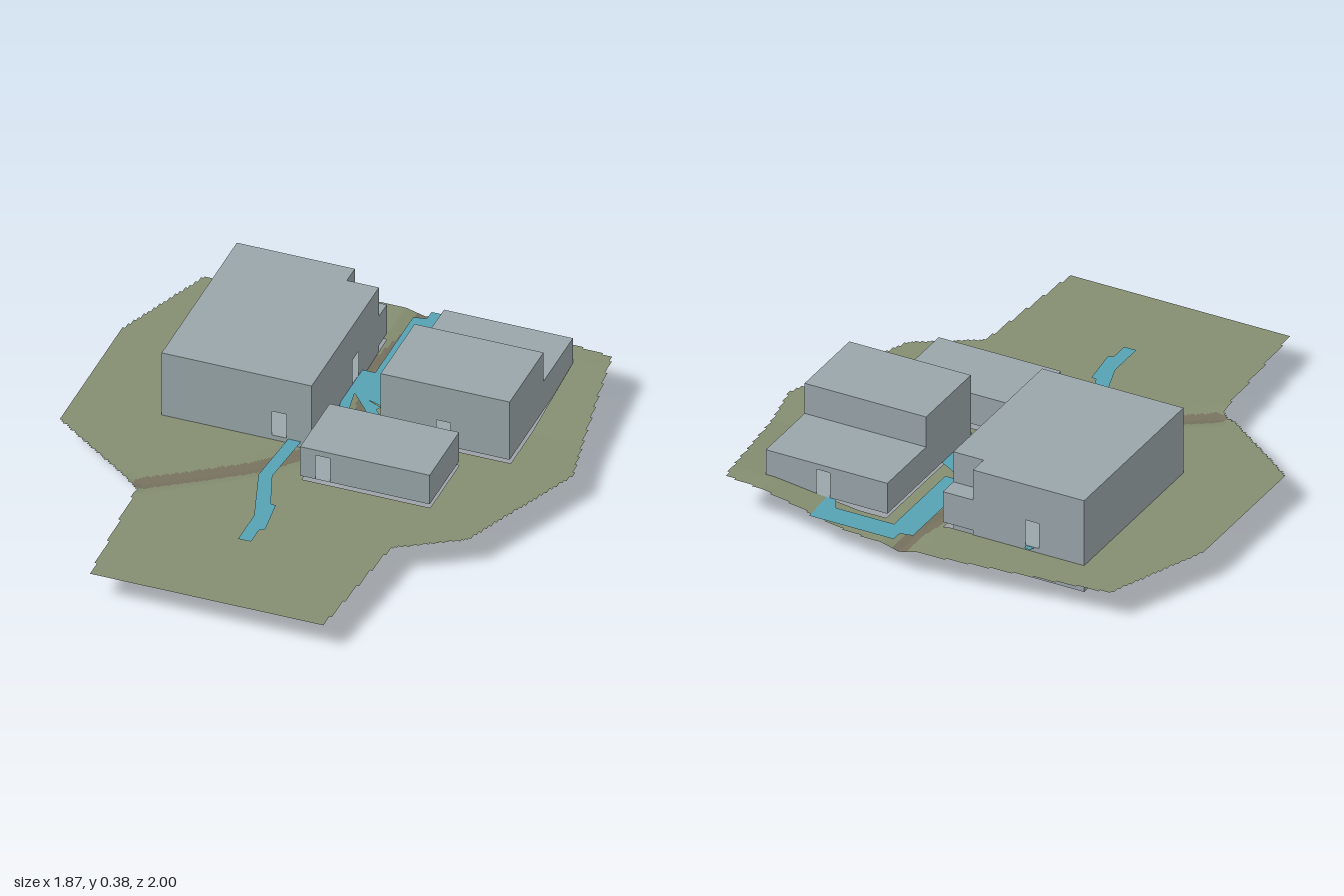
import * as THREE from 'three';

const mat = (name, color) => Object.assign(new THREE.MeshStandardMaterial({ color, side: THREE.DoubleSide }), { name });
const concrete = mat('concrete', 0x98a5a9);
const grass = mat('grass', 0x848d70);
const gullyEarth = mat('gully earth', 0x77725f);
const paving = mat('blue paving', 0x56a2b3);

const FLOOR = 0.13, ROOF = 0.258, TOP = 0.385, DOOR = 0.235;

// Building footprints: x0, x1, z0, z1
const HALL = [-0.605, -0.02, -0.795, -0.04];
const LODGE = [0.185, 0.688, -0.84, -0.205];
const PAVILION = [0.015, 0.52, -0.13, 0.165];

const add = (group, name, geometry, material) => {
  const m = new THREE.Mesh(geometry, material);
  m.name = name;
  group.add(m);
  return m;
};

// Flat outline in plan, points given as [x, z]
const planShape = pts => new THREE.Shape(pts.map(([x, z]) => new THREE.Vector2(x, -z)));
const flat = (pts, y) => new THREE.ShapeGeometry(planShape(pts)).rotateX(-Math.PI / 2).translate(0, y, 0);
const prism = (pts, y0, y1) =>
  new THREE.ExtrudeGeometry(planShape(pts), { depth: y1 - y0, bevelEnabled: false }).rotateX(-Math.PI / 2).translate(0, y0, 0);
const rect = ([x0, x1, z0, z1]) => [[x0, z0], [x0, z1], [x1, z1], [x1, z0]];

// Upright wall from a to b with door openings centred on the given positions
function wall(a, b, doors = []) {
  const pts = [[a, FLOOR]];
  for (const d of doors) pts.push([d - 0.028, FLOOR], [d - 0.028, DOOR], [d + 0.028, DOOR], [d + 0.028, FLOOR]);
  pts.push([b, FLOOR], [b, ROOF], [a, ROOF]);
  return new THREE.ShapeGeometry(new THREE.Shape(pts.map(p => new THREE.Vector2(...p))));
}

// Hollow main storey: four walls, floor and roof
function storey(name, plan, doors) {
  const [x0, x1, z0, z1] = plan, g = new THREE.Group();
  g.name = name;
  add(g, 'front wall', wall(x0, x1, doors.front).translate(0, 0, z1), concrete);
  add(g, 'back wall', wall(x0, x1, doors.back).translate(0, 0, z0), concrete);
  add(g, 'right wall', wall(z0, z1).rotateY(-Math.PI / 2).translate(x0, 0, 0), concrete);
  add(g, 'left wall', wall(z0, z1, doors.left).rotateY(-Math.PI / 2).translate(x1, 0, 0), concrete);
  add(g, 'floor', flat(rect(plan), FLOOR), concrete);
  add(g, 'roof', flat(rect(plan), ROOF), concrete);
  return g;
}

// Ground outline and gully course in plan
const EDGE = [[-0.78, -0.92], [-0.1, -1], [0.17, -1], [0.81, -0.92], [0.88, -0.47], [0.93, -0.22], [0.72, 0.3],
  [0.48, 0.45], [0.43, 1], [-0.48, 1], [-0.52, 0.42], [-0.94, 0.12], [-0.94, -0.5]];
const GULLY = [[0.05, -1], [0.05, -0.85], [0, -0.6], [0.08, -0.3], [-0.03, -0.02], [-0.15, 0.12], [-0.33, 0.25], [-0.52, 0.38]];

function inside(x, z) {
  let hit = false;
  EDGE.forEach(([ax, az], i) => {
    const [bx, bz] = EDGE[(i + 1) % EDGE.length];
    if ((az > z) !== (bz > z) && x < ax + (z - az) / (bz - az) * (bx - ax)) hit = !hit;
  });
  return hit && ![HALL, LODGE, PAVILION].some(([x0, x1, z0, z1]) => x > x0 && x < x1 && z > z0 && z < z1);
}

function gullyDistance(x, z) {
  let best = 9;
  for (let i = 1; i < GULLY.length; i++) {
    const [ax, az] = GULLY[i - 1], [bx, bz] = GULLY[i];
    const dx = bx - ax, dz = bz - az;
    const t = THREE.MathUtils.clamp(((x - ax) * dx + (z - az) * dz) / (dx * dx + dz * dz), 0, 1);
    best = Math.min(best, Math.hypot(x - ax - t * dx, z - az - t * dz));
  }
  return best;
}

// Gentle plain, rise at the back left, shallow gully
function height(x, z) {
  const rise = THREE.MathUtils.clamp((-0.42 - z) / 0.43, 0, 1) * THREE.MathUtils.clamp((x - 0.3) / 0.35, 0, 1);
  return 0.111 + 0.044 * rise - 0.02 * Math.max(0, 1 - gullyDistance(x, z) / 0.075);
}

// Ground as a fine grid, split into grass and gully
function terrain() {
  const g = new THREE.Group(), S = 0.01, grassPos = [], gullyPos = [];
  g.name = 'terrain';
  for (let i = -95; i < 95; i++) for (let j = -100; j < 100; j++) {
    const x = i * S, z = j * S, cx = x + S / 2, cz = z + S / 2;
    if (!inside(cx, cz)) continue;
    const p = (u, v) => [u, height(u, v), v];
    const a = p(x, z), b = p(x, z + S), c = p(x + S, z + S), d = p(x + S, z);
    (gullyDistance(cx, cz) < 0.035 ? gullyPos : grassPos).push(...a, ...b, ...c, ...a, ...c, ...d);
  }
  for (const [name, pos, m] of [['grass ground', grassPos, grass], ['gully bed', gullyPos, gullyEarth]]) {
    const geo = new THREE.BufferGeometry();
    geo.setAttribute('position', new THREE.Float32BufferAttribute(pos, 3));
    geo.computeVertexNormals();
    add(g, name, geo, m);
  }
  return g;
}

// Walkways joining the doors
const PATHS = {
  frontPath: [[-0.11, -0.06], [-0.06, -0.06], [-0.08, 0.2], [-0.02, 0.37], [0, 0.37], [0.02, 0.53], [0, 0.54],
    [0, 0.62], [-0.05, 0.62], [-0.05, 0.46], [-0.13, 0.21]],
  backPath: [[0.03, -0.93], [0.08, -0.94], [0.08, -0.985], [0.43, -0.985], [0.43, -0.93], [0.47, -0.82], [0.41, -0.82],
    [0.37, -0.89], [0.13, -0.89], [0.13, -0.5], [0.08, -0.5], [0.08, -0.48], [0.19, -0.42], [0.19, -0.34], [0, -0.4],
    [-0.03, -0.4], [-0.03, -0.55], [0.03, -0.55]],
  lodgePath: [[0.12, -0.46], [0.3, -0.34], [0.43, -0.2], [0.41, -0.17], [0.37, -0.2], [0.12, -0.36]],
  pavilionPath: [[0, -0.41], [0.13, -0.35], [0.12, -0.33], [0.29, -0.14], [0.27, -0.12], [0.24, -0.13]],
  hallPath: [[-0.025, -0.41], [0.005, -0.41], [0.06, -0.12], [0.03, -0.12], [-0.02, -0.33]],
  backDoorStep: [[-0.41, -0.78], [-0.39, -0.815], [-0.37, -0.815], [-0.36, -0.78]]
};

export function createModel() {
  const model = new THREE.Group();
  model.name = 'building cluster';
  model.add(terrain());

  // Hall: full middle storey, corner cut out above and below
  const [x0, x1, z0, z1] = HALL;
  const cut = [[x0, z0], [x0, z1], [x1, z1], [x1, -0.715], [-0.145, -0.715], [-0.145, z0]];
  add(model, 'hall basement', prism(cut, 0, FLOOR), concrete);
  model.add(storey('hall main storey', HALL, { front: [-0.147], back: [-0.39], left: [-0.48] }));
  add(model, 'hall upper storey', prism(cut, ROOF, TOP), concrete);

  // Lodge with a shorter upper storey
  model.add(storey('lodge main storey', LODGE, { front: [0.43], back: [0.45] }));
  add(model, 'lodge upper storey', prism(rect([0.185, 0.688, -0.545, -0.205]), ROOF, TOP), concrete);

  // Low pavilion
  model.add(storey('pavilion', PAVILION, { front: [0.103], back: [0.27] }));

  for (const [name, pts] of Object.entries(PATHS)) add(model, name, flat(pts, 0.128), paving);
  return model;
}
